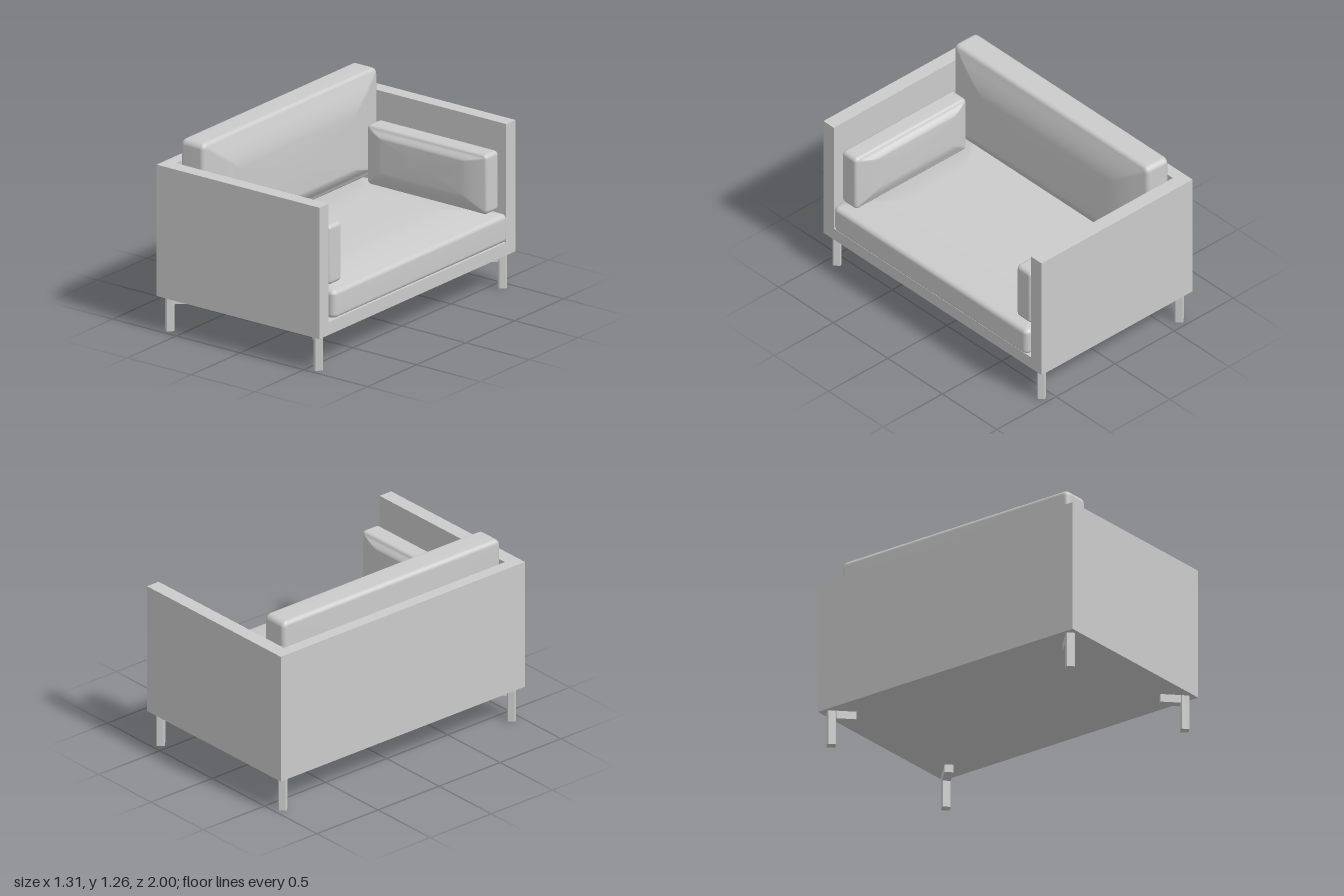
import * as THREE from 'three';

const material = new THREE.MeshStandardMaterial({ color: 0xcccccc });

function add(parent, name, geometry, x = 0, y = 0, z = 0) {
  const mesh = new THREE.Mesh(geometry, material);
  mesh.name = name;
  mesh.position.set(x, y, z);
  parent.add(mesh);
  return mesh;
}

// Box given by its lower and upper corners
function block(parent, name, [x0, y0, z0], [x1, y1, z1]) {
  const geometry = new THREE.BoxGeometry(x1 - x0, y1 - y0, z1 - z0);
  return add(parent, name, geometry, (x0 + x1) / 2, (y0 + y1) / 2, (z0 + z1) / 2);
}

// Rounded slab lying on y = 0, whose top swells by `crown` to a flat plateau.
// margins: plateau distance from the -x, +x, -z and +z sides.
function cushionGeometry(w, h, d, r, crown, margins) {
  const positions = [], index = [];
  const steps = 4, count = 4 * (steps + 1);
  const signs = [[1, 1], [-1, 1], [-1, -1], [1, -1]];
  let rings = 0;

  function ring(y, [mx0, mx1, mz0, mz1], radius) {
    for (let q = 0; q < 4; q++) {
      const [sx, sz] = signs[q];
      const cx = sx > 0 ? w / 2 - mx1 - radius : -w / 2 + mx0 + radius;
      const cz = sz > 0 ? d / 2 - mz1 - radius : -d / 2 + mz0 + radius;
      for (let k = 0; k <= steps; k++) {
        const a = (q + k / steps) * Math.PI / 2;
        positions.push(cx + radius * Math.cos(a), y, cz + radius * Math.sin(a));
      }
    }
    rings++;
  }

  // Bottom edge, side and top edge
  for (const top of [false, true]) {
    for (let k = 0; k <= 4; k++) {
      const a = (top ? k : 4 - k) / 4 * Math.PI / 2;
      const inset = r * (1 - Math.cos(a));
      const y = top ? h - r + r * Math.sin(a) : r - r * Math.sin(a);
      ring(y, [inset, inset, inset, inset], r * (1.3 - 0.8 * inset / r));
    }
  }
  // Swelling top
  for (let k = 1; k <= 4; k++) {
    const t = k / 4;
    ring(h + crown * (1 - (1 - t) ** 1.6), margins.map((m) => r + (m - r) * t), r * 0.5);
  }

  for (let i = 0; i < rings - 1; i++) {
    for (let j = 0; j < count; j++) {
      const a = i * count + j, b = i * count + (j + 1) % count;
      index.push(a, a + count, b, b, a + count, b + count);
    }
  }
  // Flat underside and plateau
  const last = (rings - 1) * count, low = rings * count, high = low + 1;
  positions.push(0, 0, 0);
  positions.push((margins[0] - margins[1]) / 2, h + crown, (margins[2] - margins[3]) / 2);
  for (let j = 0; j < count; j++) {
    const n = (j + 1) % count;
    index.push(low, j, n, high, last + n, last + j);
  }

  const geometry = new THREE.BufferGeometry();
  geometry.setAttribute('position', new THREE.Float32BufferAttribute(positions, 3));
  geometry.setIndex(index);
  geometry.computeVertexNormals();
  return geometry;
}

// Square bar with chamfered edges, standing from y = 0 to y = height
function barGeometry(size, height) {
  const s = size / 2, c = size * 0.12;
  const shape = new THREE.Shape();
  shape.moveTo(-s + c, -s).lineTo(s - c, -s).lineTo(s, -s + c).lineTo(s, s - c);
  shape.lineTo(s - c, s).lineTo(-s + c, s).lineTo(-s, s - c).lineTo(-s, -s + c);
  shape.closePath();
  const geometry = new THREE.ExtrudeGeometry(shape, { depth: height, bevelEnabled: false });
  return geometry.rotateX(-Math.PI / 2);
}

export function createModel() {
  const model = new THREE.Group();
  model.name = 'sofa';

  // Panel frame, open towards +x
  const frame = new THREE.Group();
  frame.name = 'frame';
  model.add(frame);
  block(frame, 'base', [-0.575, 0.23, -0.905], [0.622, 0.315, 0.905]);
  block(frame, 'backPanel', [-0.655, 0.23, -0.905], [-0.575, 1.1, 0.905]);
  for (const side of [-1, 1]) {
    const z = side * 0.9525;
    block(frame, 'armPanel', [-0.655, 0.23, z - 0.0475], [0.622, 1.1, z + 0.0475]);
  }

  // Seat and back cushions
  add(model, 'seatCushion',
    cushionGeometry(1.21, 0.185, 1.78, 0.03, 0.045, [0.35, 0.35, 0.31, 0.31]), 0.045, 0.33, -0.003);
  const back = add(model, 'backCushion',
    cushionGeometry(0.7, 0.185, 1.78, 0.03, 0.05, [0.23, 0.12, 0.31, 0.31]), -0.557, 0.91, -0.003);
  back.rotation.z = -Math.PI / 2;

  // Arm cushions, swelling towards the seat
  for (const side of [-1, 1]) {
    const top = 0.065, bottom = 0.115;
    const margins = [0.14, 0.18, ...(side > 0 ? [bottom, top] : [top, bottom])];
    const arm = add(model, 'armCushion',
      cushionGeometry(0.94, 0.13, 0.395, 0.022, 0.03, margins), 0.125, 0.733, side * 0.865 - 0.003);
    arm.rotation.x = -side * Math.PI / 2;
  }

  // Legs, each with a mounting arm pointing diagonally inwards
  for (const [x, sx] of [[0.566, 1], [-0.6, -1]]) {
    for (const sz of [-1, 1]) {
      const leg = new THREE.Group();
      leg.name = 'leg';
      leg.position.set(x, 0, sz * 0.937);
      leg.rotation.y = Math.atan2(sz, -sx);
      add(leg, 'post', barGeometry(0.055, 0.23));
      block(leg, 'mountingArm', [0.0275, 0.178, -0.0275], [0.155, 0.23, 0.0275]);
      model.add(leg);
    }
  }
  return model;
}
